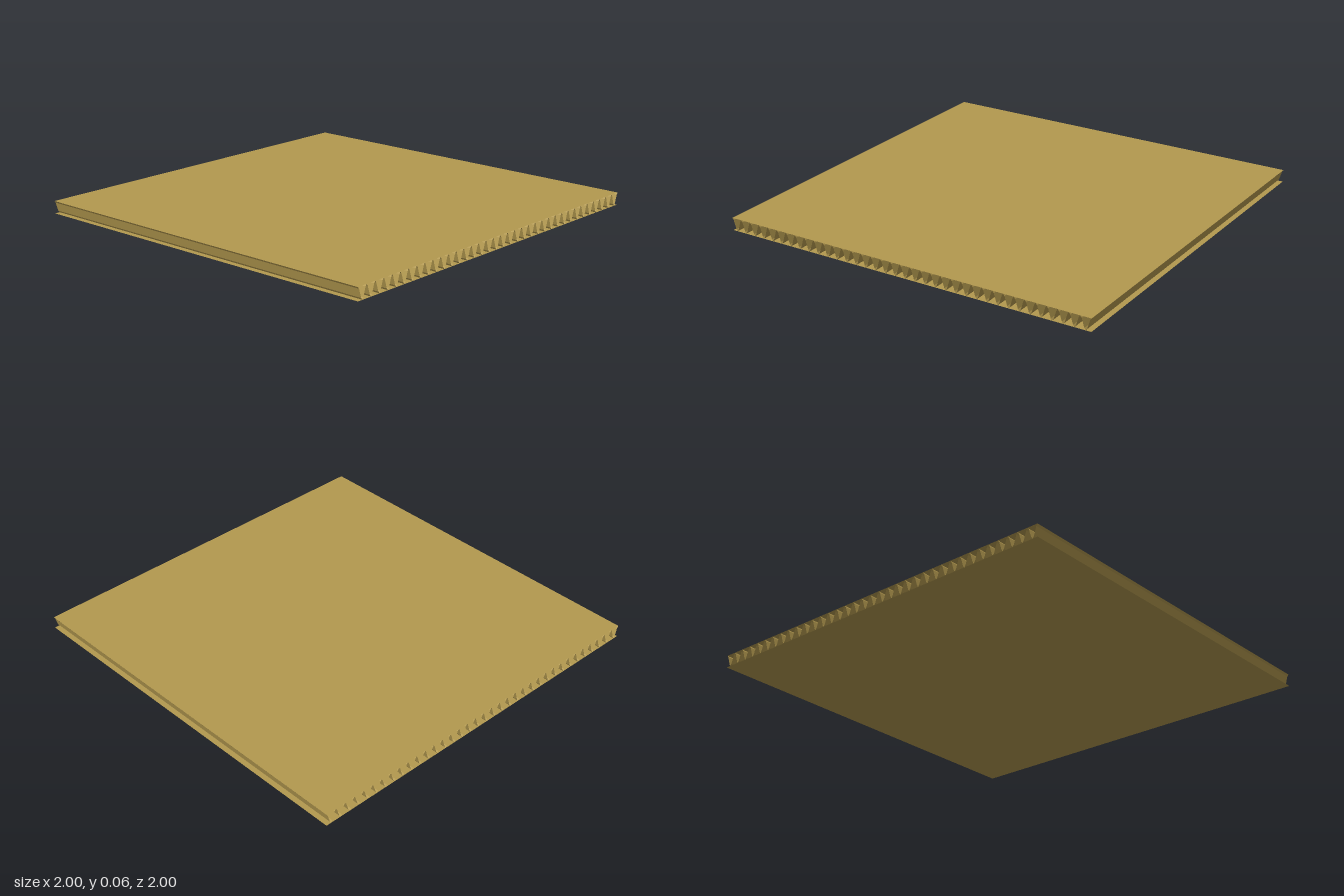
import * as THREE from 'three';

const SIZE = 2, HEIGHT = 0.064, WAVES = 36, STEPS = 8, GAP = 0.0006;

export function createModel() {
  const board = new THREE.Group();
  board.name = 'corrugatedBoard';
  const material = new THREE.MeshStandardMaterial({
    color: 0xb3994f, side: THREE.DoubleSide, flatShading: true,
  });

  const addSheet = (name, geometry, y) => {
    const mesh = new THREE.Mesh(geometry, material);
    mesh.name = name;
    mesh.position.y = y;
    board.add(mesh);
  };

  // Flat paper liners, each facing outward
  addSheet('topLiner', new THREE.PlaneGeometry(SIZE, SIZE).rotateX(-Math.PI / 2), HEIGHT);
  addSheet('bottomLiner', new THREE.PlaneGeometry(SIZE, SIZE).rotateX(Math.PI / 2), 0);

  // Fluted core: a sheet bent into a cosine wave along z, with crests at both ends
  const flute = new THREE.PlaneGeometry(SIZE, SIZE, 1, WAVES * STEPS).rotateX(-Math.PI / 2);
  const pos = flute.attributes.position;
  const amplitude = HEIGHT / 2 - GAP;
  for (let i = 0; i < pos.count; i++) {
    const phase = ((pos.getZ(i) + SIZE / 2) / SIZE) * WAVES * Math.PI * 2;
    pos.setY(i, amplitude * Math.cos(phase));
  }
  flute.computeVertexNormals();
  addSheet('flutedCore', flute, HEIGHT / 2);

  return board;
}
